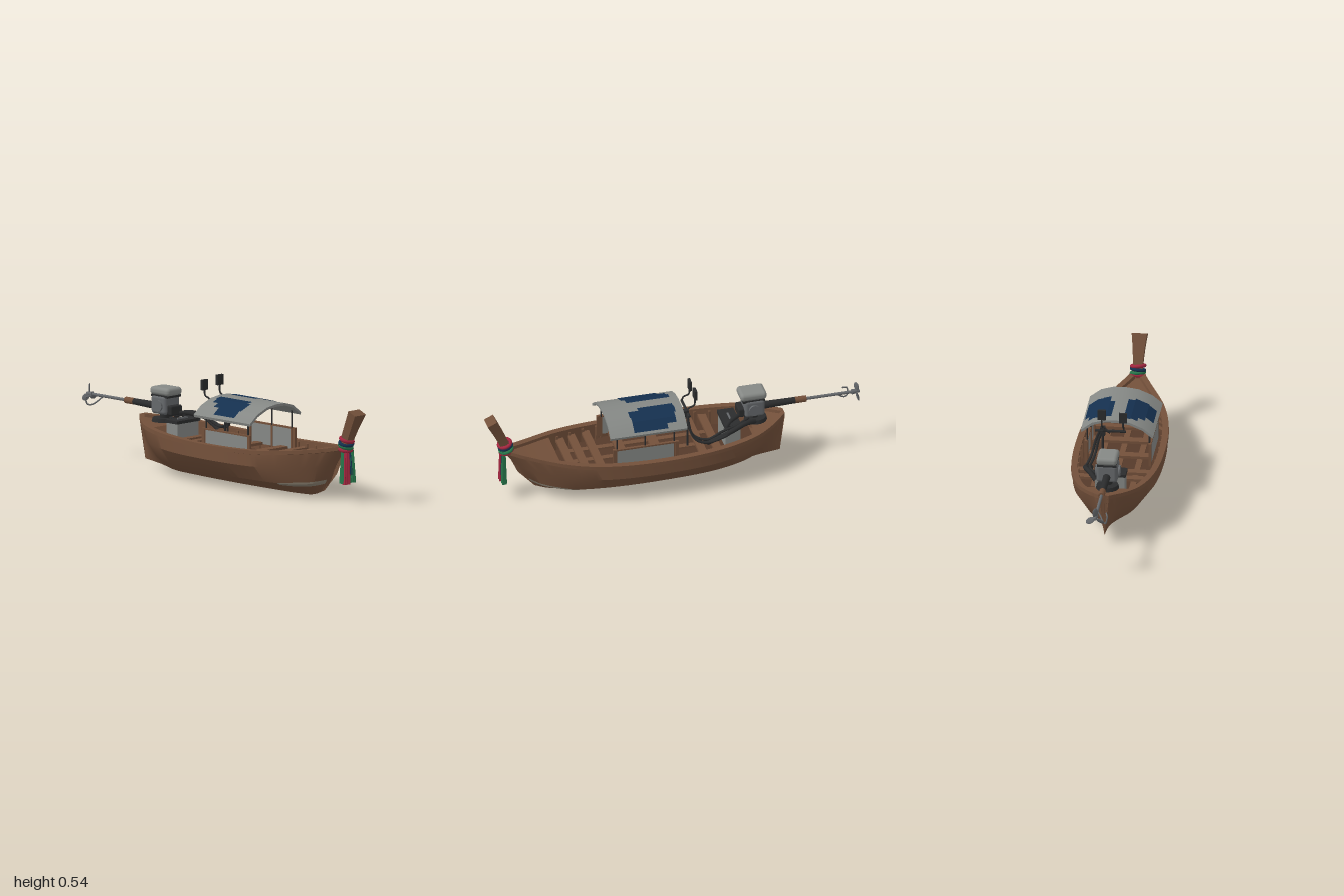
import * as THREE from 'three';
import { toCreasedNormals } from 'three/addons/utils/BufferGeometryUtils.js';
import { RoundedBoxGeometry } from 'three/addons/geometries/RoundedBoxGeometry.js';

const V = (x, y, z) => new THREE.Vector3(x, y, z);
const mat = (name, color, side = THREE.FrontSide) => {
  const m = new THREE.MeshStandardMaterial({ color, side });
  m.name = name;
  return m;
};

export function createModel() {
  const boat = new THREE.Group();
  boat.name = 'longtailBoat';
  const wood = mat('wood', 0x73503a), darkWood = mat('darkWood', 0x553a2a);
  const grey = mat('paintedGrey', 0x858885, THREE.DoubleSide);
  const navy = mat('navy', 0x15304f, THREE.DoubleSide), black = mat('black', 0x2b2c2d);
  const metal = mat('metal', 0x66696c, THREE.DoubleSide), worn = mat('wornPaint', 0x8a8070, THREE.DoubleSide);
  const red = mat('redCloth', 0xa3263f), green = mat('greenCloth', 0x26754a);

  const add = (name, geo, m, x = 0, y = 0, z = 0) => {
    const mesh = new THREE.Mesh(geo, m);
    mesh.name = name;
    mesh.position.set(x, y, z);
    boat.add(mesh);
    return mesh;
  };
  const box = (name, m, w, h, d, x, y, z) => add(name, new THREE.BoxGeometry(w, h, d), m, x, y, z);
  const rounded = (name, m, w, h, d, r, x, y, z) => add(name, new RoundedBoxGeometry(w, h, d, 3, r), m, x, y, z);
  const rod = (name, m, a, b, r, r2 = r) => {
    const d = b.clone().sub(a);
    const mesh = add(name, new THREE.CylinderGeometry(r2, r, d.length(), 14), m);
    mesh.position.copy(a).addScaledVector(d, 0.5);
    mesh.quaternion.setFromUnitVectors(V(0, 1, 0), d.normalize());
    return mesh;
  };
  const tube = (name, m, r, ...pts) =>
    add(name, new THREE.TubeGeometry(new THREE.CatmullRomCurve3(pts.map(p => V(...p))), 32, r, 8), m);
  // Grid surface from rows of points; closed joins the last column to the first
  const loft = (rows, closed) => {
    const n = rows[0].length, idx = [], pos = rows.flat().flatMap(p => p.toArray());
    for (let i = 0; i < rows.length - 1; i++) {
      for (let j = 0; j < (closed ? n : n - 1); j++) {
        const a = i * n + j, b = a + n, c = i * n + (j + 1) % n, d = c + n;
        idx.push(a, b, c, b, d, c);
      }
    }
    if (closed) {
      const e = (rows.length - 1) * n;
      for (let j = 1; j < n - 1; j++) idx.push(0, j, j + 1, e, e + j + 1, e + j);
    }
    const g = new THREE.BufferGeometry();
    g.setAttribute('position', new THREE.Float32BufferAttribute(pos, 3));
    g.setIndex(idx);
    return toCreasedNormals(g, 0.55);
  };

  // Hull lines from stern to bow
  const line = (xs, ys, zs) => new THREE.CatmullRomCurve3(xs.map((x, i) => V(x, ys[i], zs[i])));
  const keel = line([-.57, -.45, -.36, -.2, .1, .4, .55, .66, .74],
    [.045, .03, .012, .005, 0, 0, .002, .01, .04], [0, 0, 0, 0, 0, 0, 0, 0, 0]);
  const chine = line([-.555, -.46, -.38, -.2, .1, .4, .57, .71, .79],
    [.1, .095, .08, .072, .07, .07, .07, .08, .1], [.008, .05, .095, .145, .168, .162, .132, .07, .004]);
  const bilge = line([-.575, -.48, -.39, -.2, .1, .4, .58, .74, .83],
    [.17, .17, .165, .155, .15, .15, .155, .165, .18], [.01, .085, .15, .207, .229, .212, .165, .08, .008]);
  const sheer = line([-.59, -.5, -.4, -.2, .1, .4, .6, .8, .9],
    [.28, .265, .255, .24, .23, .235, .25, .275, .295], [.015, .095, .157, .208, .227, .21, .163, .07, .018]);
  const inner = p => Math.max(p.z - .025, .0005);
  const FLOOR = .14, sections = [];
  for (let i = 0; i <= 56; i++) {
    const t = i / 56, k = keel.getPoint(t), c = chine.getPoint(t), b = bilge.getPoint(t), s = sheer.getPoint(t);
    const half = [c, b, V(s.x, s.y - .022, s.z), V(s.x, s.y - .02, s.z + .009), V(s.x, s.y, s.z + .008),
      V(s.x, s.y, inner(s)), V(b.x, FLOOR, inner(b))];
    const mirror = half.map(p => V(p.x, p.y, -p.z)).reverse();
    sections.push([k, ...half, V(b.x, FLOOR, 0), ...mirror]);
  }
  add('hull', loft(sections, true), wood);

  // Floor boards and end decks follow the hull lines
  const deck = (name, m, curve, t0, t1, y) => {
    const rows = [];
    for (let i = 0; i <= 16; i++) {
      const p = curve.getPoint(t0 + (t1 - t0) * i / 16), w = inner(p) + .002;
      rows.push([V(p.x, y(p), w), V(p.x, y(p), 0), V(p.x, y(p), -w)]);
    }
    add(name, loft(rows, false), m);
  };
  deck('floorBoards', darkWood, bilge, .2, .85, () => FLOOR + .004);
  deck('bowDeck', wood, sheer, .77, 1, p => p.y - .016);
  deck('sternDeck', wood, sheer, 0, .24, p => p.y - .016);

  // Worn waterline patches on both bows
  for (const side of [1, -1]) {
    const rows = [];
    for (let i = 0; i <= 18; i++) {
      const t = .72 + .25 * i / 18, f = Math.min(1, i / 6);
      const c = chine.getPoint(t), b = bilge.getPoint(t), k = keel.getPoint(t);
      const pts = [c.clone().lerp(k, .16 + .06 * f), c, c.clone().lerp(b, .02 + .1 * f)];
      rows.push(pts.map(p => V(p.x + .002, p.y - .001, side * (p.z + .003))));
    }
    add('wornPatch', loft(rows, false), worn);
  }

  // Thwarts and ribs
  const halfWidth = x => {
    let best = sheer.getPoint(0);
    for (let i = 1; i <= 80; i++) {
      const p = sheer.getPoint(i / 80);
      if (Math.abs(p.x - x) < Math.abs(best.x - x)) best = p;
    }
    return best.z - .022;
  };
  for (const x of [-.2, -.12, .42, .5, .57]) box('thwart', wood, .042, .014, 2 * halfWidth(x), x, .2, 0);
  for (let x = -.24; x < .6; x += .075) {
    for (const s of [1, -1]) box('rib', wood, .014, .08, .016, x, .185, s * (halfWidth(x) - .002));
  }
  for (const z of [-.1, 0, .1]) box('floorBatten', wood, .75, .01, .03, .16, .148, z);

  // Curved canopy
  const arch = [[.19, .365], [.135, .408], [.065, .437], [0, .446], [-.065, .445], [-.13, .427], [-.188, .383]];
  const archY = z => {
    let i = 0;
    while (i < arch.length - 2 && z < arch[i + 1][0]) i++;
    const [a, b] = [arch[i], arch[i + 1]];
    return a[1] + (b[1] - a[1]) * (z - a[0]) / (b[0] - a[0]);
  };
  const roof = new THREE.Shape();
  arch.forEach(([z, y], i) => (i ? roof.lineTo(-z, y) : roof.moveTo(-z, y)));
  [...arch].reverse().forEach(([z, y]) => roof.lineTo(-z * .98, y - .013));
  const roofGeo = new THREE.ExtrudeGeometry(roof, { depth: .41, bevelEnabled: false });
  roofGeo.rotateY(Math.PI / 2);
  add('canopy', toCreasedNormals(roofGeo, .5), grey, -.03);

  // Ragged blue patches on the canopy: [z0, z1, x0, x1]
  const patches = [[.03, .065, .01, .24], [.065, .1, .02, .26], [.1, .135, .06, .26], [.135, .175, .1, .25],
    [-.06, -.035, .015, .2], [-.1, -.06, .01, .255], [-.13, -.1, .02, .25], [-.155, -.13, .02, .25], [-.178, -.155, .07, .25]];
  for (const [z0, z1, x0, x1] of patches) {
    const rows = [x0, x1].map(x => [0, .25, .5, .75, 1].map(f => {
      const z = z1 + (z0 - z1) * f;
      return V(x, archY(z) + .003, z);
    }));
    add('bluePatch', loft(rows, false), navy);
  }

  // Cabin sides, posts and beams
  for (const s of [1, -1]) {
    box('sidePanel', grey, .31, .11, .008, .195, .24, s * .168);
    box('panelRail', wood, .35, .008, .014, .187, .296, s * .166);
    for (const x of [.022, .352]) box('panelEnd', wood, .02, .12, .012, x, .235, s * .167);
    for (const x of [.035, .19, .34]) {
      box('postFoot', wood, .01, .13, .01, x, .23, s * .162);
      rod('post', black, V(x, .29, s * .162), V(x, archY(s * .162) - .005, s * .162), .0045);
    }
  }
  for (const x of [.1, .28]) box('bench', wood, .05, .014, .32, x, .19, 0);

  // Upswept prow
  const prow = new THREE.BoxGeometry(1, 1, 1, 1, 8, 1), pp = prow.attributes.position;
  for (let i = 0; i < pp.count; i++) {
    const t = pp.getY(i) + .5, u = pp.getX(i);
    pp.setXYZ(i, .88 + .095 * Math.pow(t, 1.2) + u * .048, .26 + .215 * t - u * .022 * t,
      pp.getZ(i) * (.046 + .034 * t * t));
  }
  add('prow', toCreasedNormals(prow, .6), wood);

  // Cloth wraps and hanging sashes
  const wraps = [[red, .325, .9], [navy, .307, .895], [green, .29, .892], [red, .278, .89]];
  wraps.forEach(([m, y, x], i) => {
    const g = new THREE.TorusGeometry(.034, .0095, 8, 24).rotateX(Math.PI / 2).scale(.95, 1, 1);
    add('clothWrap', g, m, x, y, 0).rotation.set(i % 2 ? .12 : -.1, 0, -.3);
  });
  const sash = (m, z0, z1, w, bottom, x) => {
    const g = new THREE.BoxGeometry(1, 1, 1, 4, 10, 6), p = g.attributes.position;
    for (let i = 0; i < p.count; i++) {
      const f = .5 - p.getY(i), k = p.getZ(i);
      p.setXYZ(i, x + p.getX(i) * (.012 + .01 * f) + .004 * Math.sin(k * 12),
        .3 - (.3 - bottom) * f, z0 + (z1 - z0) * f + k * w * (.6 + .5 * f));
    }
    add('sash', toCreasedNormals(g, .8), m);
  };
  sash(red, .014, .018, .035, .095, .913);
  sash(navy, -.004, -.012, .02, .14, .908);
  sash(green, -.02, -.029, .03, .1, .91);
  sash(green, .028, .036, .014, .1, .9);

  // Engine
  add('engineTurntable', new THREE.CylinderGeometry(.055, .06, .02, 24), black, -.44, .267, 0);
  rod('enginePivot', black, V(-.43, .26, 0), V(-.43, .32, 0), .025);
  rounded('engineBlock', metal, .11, .1, .11, .018, -.425, .35, 0);
  rounded('engineCover', grey, .14, .042, .108, .018, -.42, .42, 0);
  box('engineBand', black, .118, .012, .1, -.42, .395, 0);
  for (const s of [1, -1]) add('engineSideCap', new THREE.CylinderGeometry(.03, .03, .012, 20).rotateX(Math.PI / 2), metal, -.42, .345, s * .058);
  rounded('exhaustBox', black, .04, .05, .08, .008, -.36, .325, 0);

  // Long shaft, propeller and guard
  rod('shaftHousing', black, V(-.48, .332, 0), V(-.67, .334, 0), .02, .016);
  rod('shaftGrip', wood, V(-.65, .334, 0), V(-.71, .334, 0), .017);
  rod('shaft', metal, V(-.7, .334, 0), V(-.995, .334, 0), .008);
  rod('propellerHub', metal, V(-.955, .334, 0), V(-.998, .334, 0), .014, .007);
  for (let i = 0; i < 3; i++) {
    const g = new THREE.SphereGeometry(1, 14, 8).scale(.004, .025, .017).rotateY(.6).translate(0, .03, 0);
    add('propellerBlade', g, metal, -.98, .334, 0).rotation.x = i * Math.PI * 2 / 3;
  }
  tube('propellerGuard', metal, .004, [-.88, .33, 0], [-.9, .305, .02], [-.925, .288, .035],
    [-.945, .29, .05], [-.945, .325, .058], [-.915, .335, .05]);

  // Battery box
  box('batteryBox', grey, .08, .12, .155, -.3, .215, 0);
  box('batteryLid', black, .088, .016, .165, -.3, .279, 0);
  box('batteryHandle', metal, .008, .008, .07, -.3, .29, 0);

  // Hoses and control stand
  tube('hose', black, .013, [-.42, .28, -.06], [-.36, .3, -.1], [-.29, .29, -.13], [-.22, .26, -.13], [-.15, .23, -.12]);
  tube('cable', black, .007, [-.39, .3, -.05], [-.32, .3, -.1], [-.24, .285, -.115], [-.15, .25, -.12],
    [-.08, .28, -.105], [-.06, .35, -.09], [-.06, .42, -.06]);
  tube('cable', black, .007, [-.36, .29, -.06], [-.26, .275, -.14], [-.14, .245, -.14],
    [-.085, .27, -.125], [-.055, .36, -.1], [-.06, .41, -.07], [-.06, .39, -.03]);
  tube('intakeHose', black, .011, [-.38, .3, .02], [-.34, .31, -.03], [-.28, .3, -.07], [-.26, .27, -.08]);
  rod('controlBar', black, V(-.06, .4, -.11), V(-.06, .4, .05), .007);
  rod('controlPost', black, V(-.06, .2, -.07), V(-.06, .42, -.07), .006);
  box('controlBlock', black, .03, .045, .025, -.05, .395, -.07);
  for (const [z, y] of [[.04, .495], [-.07, .508]]) {
    tube('screenStem', black, .0045, [-.06, .4, z], [-.065, .425, z], [-.095, .44, z], [-.1, y - .02, z]);
    box('screen', black, .014, .054, .042, -.1, y, z);
  }
  return boat;
}
